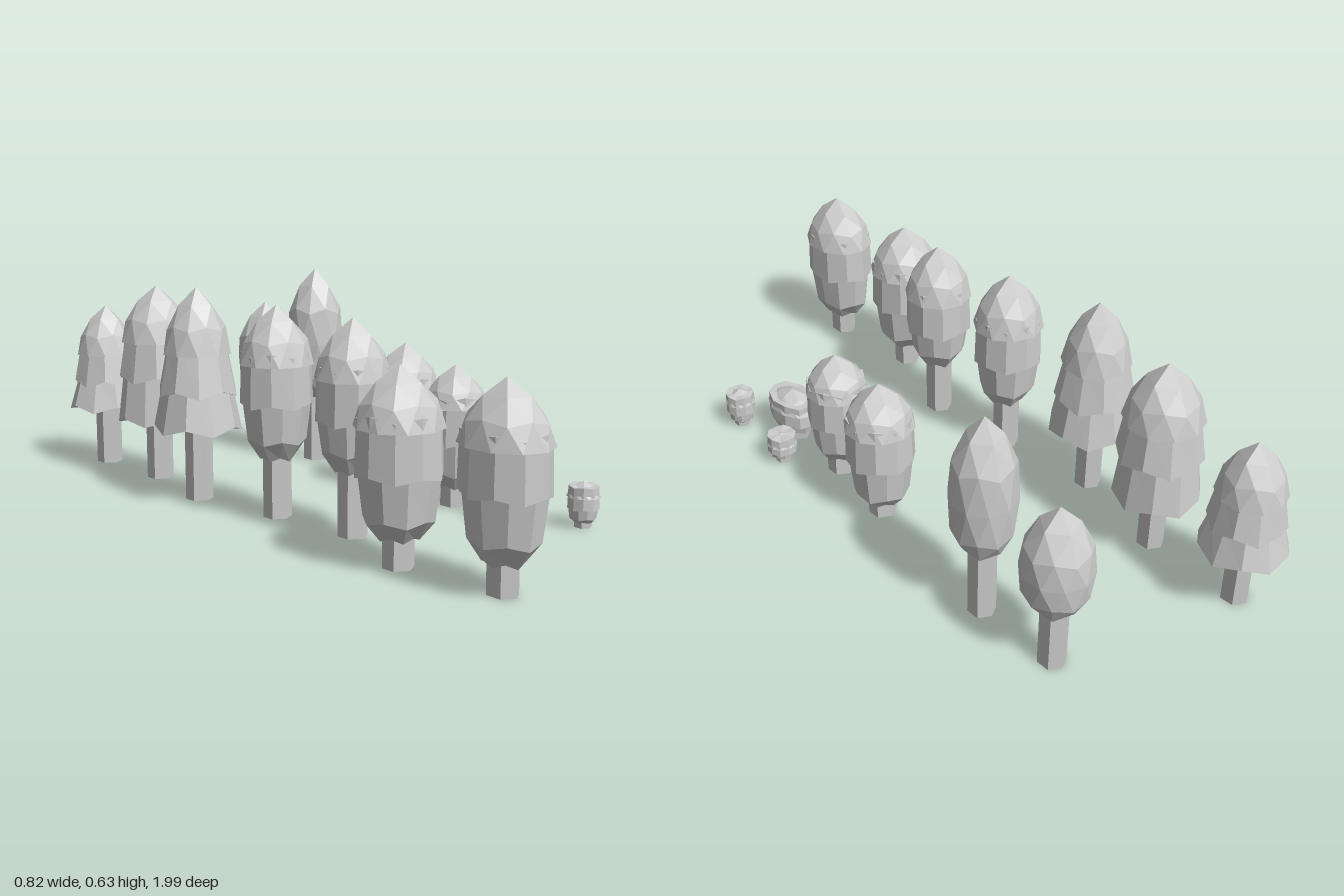
import * as THREE from 'three';

const material = new THREE.MeshStandardMaterial({ color: 0xcccccc, flatShading: true, side: THREE.DoubleSide });

function mesh(name, geometry) {
  const m = new THREE.Mesh(geometry, material);
  m.name = name;
  return m;
}

// Piecewise linear lookup in rows of [latitude, radius, height], latitude falling
function lookup(rows, v) {
  let i = 0;
  while (i < rows.length - 2 && v < rows[i + 1][0]) i++;
  const [a, b] = [rows[i], rows[i + 1]];
  const t = THREE.MathUtils.clamp((a[0] - v) / (a[0] - b[0]), 0, 1);
  return [a[1] + (b[1] - a[1]) * t, a[2] + (b[2] - a[2]) * t];
}

// Faceted ball with a point on top, its vertices moved onto a profile
function profiledBall(rows) {
  const geo = new THREE.IcosahedronGeometry(1, 1);
  geo.rotateX(-Math.atan((Math.sqrt(5) - 1) / 2)); // candidate tilt, corrected below
  const p = geo.attributes.position;
  const v = new THREE.Vector3();
  // bring one five-edged corner exactly to the top
  const corner = new THREE.Vector3(0, 0, 0);
  const base = new THREE.IcosahedronGeometry(1, 0).attributes.position;
  corner.fromBufferAttribute(base, 0);
  corner.applyAxisAngle(new THREE.Vector3(1, 0, 0), -Math.atan((Math.sqrt(5) - 1) / 2));
  const turn = new THREE.Quaternion().setFromUnitVectors(corner.normalize(), new THREE.Vector3(0, 1, 0));
  for (let i = 0; i < p.count; i++) {
    v.fromBufferAttribute(p, i).applyQuaternion(turn);
    const [r, y] = lookup(rows, v.y);
    const len = Math.hypot(v.x, v.z);
    const k = len > 1e-4 ? r / len : 0;
    p.setXYZ(i, v.x * k, y, v.z * k);
  }
  geo.computeVertexNormals();
  return geo;
}

// Pointed dome, closed underneath
function dome(r, top, edge) {
  const h = top - edge;
  return profiledBall([
    [1, 0, top], [0.851, 0.5 * r, top - 0.27 * h], [0.5, 0.84 * r, top - 0.6 * h],
    [0, r, edge], [-0.5, 0.75 * r, edge + 0.01], [-0.851, 0.4 * r, edge + 0.015], [-1, 0, edge + 0.015],
  ]);
}

// Ten-sided layer from [radius, height] points, bottom to top, with an uneven rim
function skirt(points, phase, jag) {
  const bottom = points[0], top = points[points.length - 1];
  const profile = [[0, bottom[1]], ...points, [0, top[1]]].map(([r, y]) => new THREE.Vector2(r, y));
  const geo = new THREE.LatheGeometry(profile, 10, phase);
  const p = geo.attributes.position;
  for (let i = 0; i < p.count; i++) {
    const x = p.getX(i), z = p.getZ(i);
    if (Math.hypot(x, z) > 1e-4) p.setY(i, p.getY(i) + jag * Math.cos(5 * (Math.atan2(x, z) - phase)));
  }
  return geo;
}

function trunk(r, height) {
  const geo = new THREE.CylinderGeometry(r, r, height, 6);
  geo.translate(0, height / 2 + 0.003, 0);
  return mesh('trunk', geo);
}

// Tree with a dome [radius, edge height] above layers of foliage
function layeredPlant({ name, x, z, top, cap, layers, trunkR = 0.04, stretch = [1, 1], jag = 0.006 }) {
  const g = new THREE.Group();
  g.name = name;
  g.add(mesh('crownTop', dome(cap[0], top, cap[1])));
  layers.forEach((pts, i) => g.add(mesh('foliageLayer', skirt(pts, i * 0.31 + x * 9, jag))));
  g.add(trunk(trunkR, layers[layers.length - 1][0][1] + 0.01));
  g.position.set(x, 0, z);
  g.scale.set(stretch[0], 1, stretch[1]);
  return g;
}

// Tree with one smooth-sided crown
function ovalTree({ name, x, z, top, shoulder, hip, bottom, r }) {
  const g = new THREE.Group();
  g.name = name;
  const h = top - shoulder;
  g.add(mesh('crown', profiledBall([
    [1, 0, top], [0.851, 0.55 * r, top - 0.42 * h], [0.5, 0.93 * r, shoulder],
    [0, r, (shoulder + hip) / 2], [-0.5, 0.93 * r, hip], [-0.851, 0.55 * r, bottom + 0.01], [-1, 0, bottom],
  ])));
  g.add(trunk(0.039, bottom + 0.03));
  g.position.set(x, 0, z);
  return g;
}

// Skirts flaring outwards, for the conical trees
const flared = (c, r) => c.slice(1).map((y, i) => [[r[i + 1], y], [r[i] * 0.88, c[i] + 0.02]]);

// Barrel layers narrowing to the trunk, for the rounded trees
const barrel = (r, y1, y2, y3, y4) => [
  [[r * 0.97, y2], [r * 0.93, y1 + 0.03]],
  [[r * 0.45, y4], [r * 0.78, y3], [r * 0.92, y2 + 0.02]],
];

export function createModel() {
  const model = new THREE.Group();
  model.name = 'treeRows';

  // Conical trees
  const cones = [
    [-0.21, -0.88, 0.515, [0.36, 0.27, 0.19], [0.095, 0.105, 0.122]],
    [-0.21, -0.585, 0.6, [0.43, 0.32, 0.19], [0.112, 0.12, 0.124]],
    [-0.275, -0.285, 0.62, [0.43, 0.32, 0.215], [0.1, 0.114, 0.126]],
  ];
  for (const [x, z, top, ys, rs] of cones) {
    model.add(layeredPlant({ name: 'conicalTree', x, z, top, cap: [rs[0], ys[0]], layers: flared(ys, rs), jag: 0.01 }));
  }

  // Rounded trees: x, z, top, radius, layer heights, stretch
  const rounds = [
    [-0.23, 0.02, 0.59, 0.105, [0.43, 0.32, 0.22, 0.17], [1, 0.98]],
    [-0.205, 0.3, 0.578, 0.102, [0.42, 0.31, 0.23, 0.18], [1, 1]],
    [-0.305, 0.575, 0.5, 0.113, [0.35, 0.235, 0.125, 0.08], [1, 1]],
    [-0.268, 0.875, 0.503, 0.11, [0.35, 0.24, 0.13, 0.08], [0.92, 1.09]],
    [0.26, 0.02, 0.443, 0.103, [0.31, 0.2, 0.09, 0.05], [1, 0.98]],
    [0.227, 0.255, 0.408, 0.093, [0.29, 0.19, 0.1, 0.06], [1, 1]],
  ];
  for (const [x, z, top, r, ys, stretch] of rounds) {
    model.add(layeredPlant({ name: 'roundedTree', x, z, top, cap: [r, ys[0]], layers: barrel(r, ...ys), stretch }));
  }

  // Oval trees
  model.add(ovalTree({ name: 'ovalTree', x: 0.315, z: -0.715, top: 0.503, shoulder: 0.39, hip: 0.245, bottom: 0.175, r: 0.095 }));
  model.add(ovalTree({ name: 'ovalTree', x: 0.323, z: -0.465, top: 0.63, shoulder: 0.5, hip: 0.28, bottom: 0.205, r: 0.091 }));

  // Bushes
  const bushes = [
    [0.333, 0.405, 0.102, 0.046, [0.068, 0.045, 0.028, 0.018], 0.022, [1, 1]],
    [0.22, 0.5, 0.158, 0.064, [0.105, 0.065, 0.035, 0.018], 0.042, [1, 1.47]],
    [0.317, 0.645, 0.13, 0.046, [0.087, 0.055, 0.028, 0.015], 0.025, [1, 1]],
  ];
  for (const [x, z, top, r, ys, trunkR, stretch] of bushes) {
    model.add(layeredPlant({ name: 'bush', x, z, top, cap: [r, ys[0]], layers: barrel(r, ...ys), trunkR, stretch, jag: 0.002 }));
  }
  return model;
}
